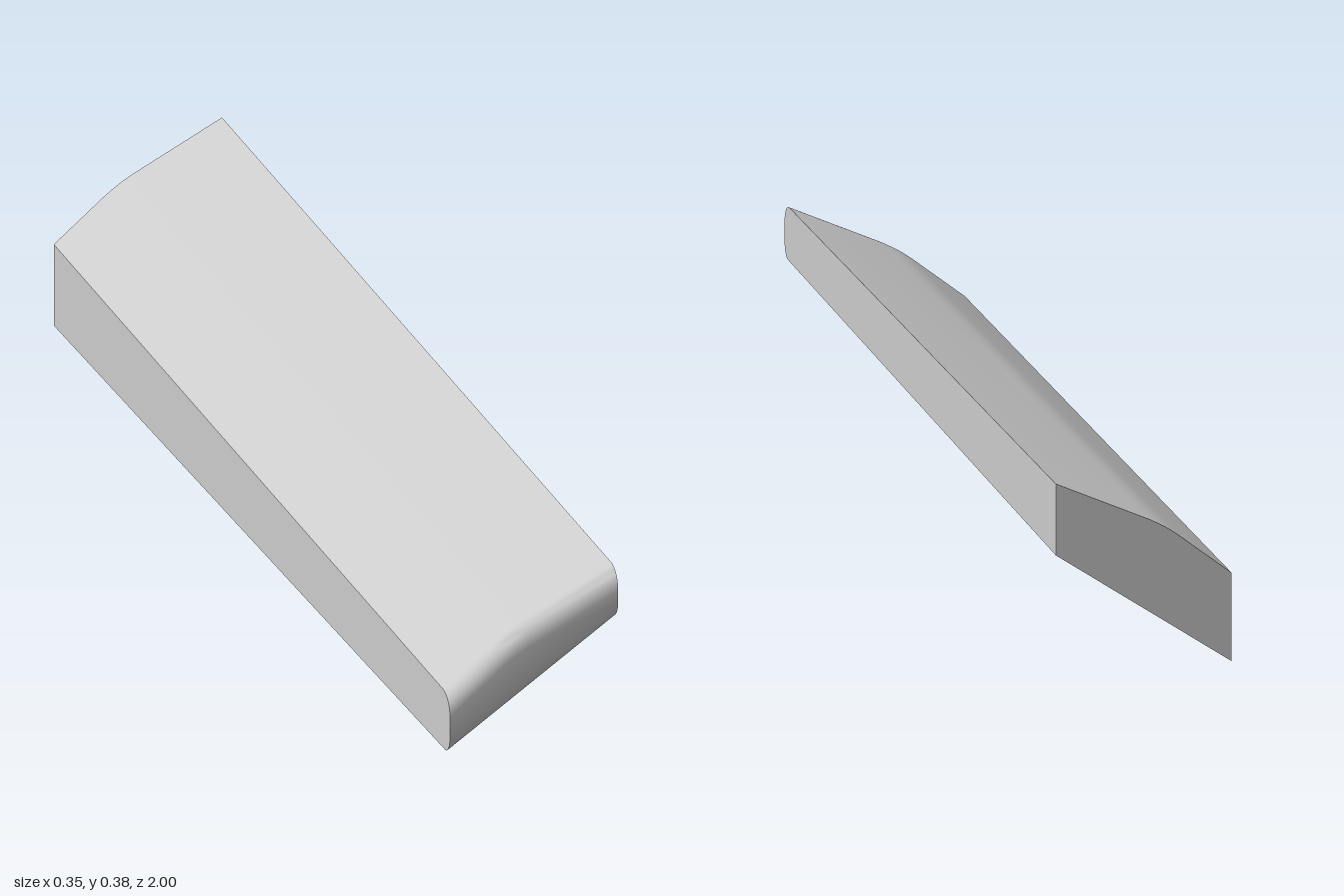
import * as THREE from 'three';
import { toCreasedNormals } from 'three/addons/utils/BufferGeometryUtils.js';

// Upper surface across the width: two slopes meeting in a soft ridge
const ridge = [
  [-0.176, 0.178], [-0.07, 0.262], [-0.052, 0.275], [-0.036, 0.285],
  [-0.012, 0.298], [0.176, 0.384],
];
const lerp = THREE.MathUtils.lerp;

// Side profile (z, y) at one x: tapered underside, rounded nose, level top
function profileAt(x, top) {
  const t = (x + 0.176) / 0.352;
  const backBottom = lerp(0, 0.24, t);
  const noseBottom = lerp(0.05, 0.276, t);
  const points = [[-1, backBottom]];
  const steps = 6;
  for (let i = 0; i <= steps; i++) { // lower nose corner
    const a = (i / steps) * Math.PI / 2;
    points.push([0.975 + 0.025 * Math.sin(a), noseBottom + 0.04 * (1 - Math.cos(a))]);
  }
  for (let i = 0; i <= steps; i++) { // upper nose corner
    const a = (i / steps) * Math.PI / 2;
    points.push([0.965 + 0.035 * Math.cos(a), top - 0.045 * (1 - Math.sin(a))]);
  }
  points.push([-1, top]);
  return points;
}

function createBarGeometry() {
  const positions = [];
  const indices = [];
  const loops = ridge.map(([x, top]) => profileAt(x, top));
  const n = loops[0].length;
  loops.forEach((loop, i) => loop.forEach(([z, y]) => positions.push(ridge[i][0], y, z)));

  // Skin between neighbouring profiles
  for (let i = 0; i < loops.length - 1; i++) {
    for (let j = 0; j < n; j++) {
      const a = i * n + j;
      const b = i * n + ((j + 1) % n);
      indices.push(a, a + n, b, b, a + n, b + n);
    }
  }
  // Flat end caps
  const last = (loops.length - 1) * n;
  for (let k = 1; k < n - 1; k++) {
    indices.push(0, k, k + 1);
    indices.push(last, last + k + 1, last + k);
  }

  const geometry = new THREE.BufferGeometry();
  geometry.setAttribute('position', new THREE.Float32BufferAttribute(positions, 3));
  geometry.setIndex(indices);
  return toCreasedNormals(geometry, 0.6);
}

export function createModel() {
  const group = new THREE.Group();
  group.name = 'slantedBar';
  const bar = new THREE.Mesh(
    createBarGeometry(),
    new THREE.MeshStandardMaterial({ color: 0xcccccc }),
  );
  bar.name = 'bar';
  group.add(bar);
  return group;
}
